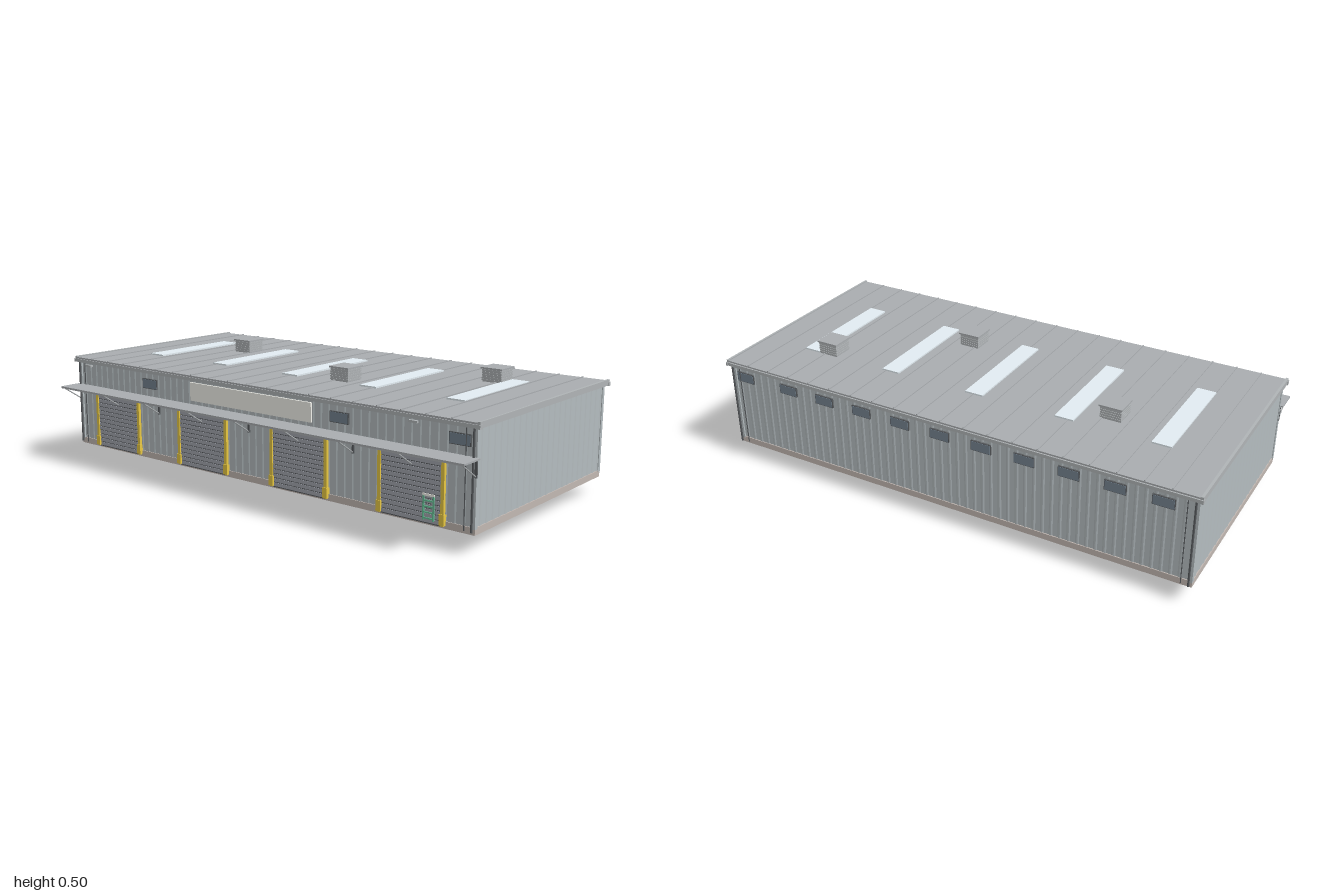
import * as THREE from 'three';

const mat = (color, extra = {}) => {
  const m = new THREE.MeshStandardMaterial(extra);
  m.color.set(color);
  return m;
};
const M = {
  wall: mat(0xb4bcbf), roof: mat(0xa9adb0), trim: mat(0xb0b4b6), dark: mat(0x56595c),
  plinth: mat(0xc2b8b2), floor: mat(0x9e9b97), shutter: mat(0xa2a6ae), yellow: mat(0xe8c843),
  glass: mat(0x74828f), skylight: mat(0xe2ecf2), sign: mat(0xf3f3ed), green: mat(0x66c096),
  rubber: mat(0x5a5c5e),
};

export function createModel() {
  const root = new THREE.Group();
  const add = (name, geo, m, x = 0, y = 0, z = 0, parent = root) => {
    const mesh = new THREE.Mesh(geo, m);
    mesh.name = name;
    mesh.position.set(x, y, z);
    parent.add(mesh);
    return mesh;
  };
  const box = (name, w, h, d, m, x, y, z, parent) =>
    add(name, new THREE.BoxGeometry(w, h, d), m, x, y, z, parent);
  // round bar between two points
  const bar = (name, a, b, r, m, parent) => {
    const A = new THREE.Vector3(...a), B = new THREE.Vector3(...b);
    const mesh = add(name, new THREE.CylinderGeometry(r, r, A.distanceTo(B), 8), m, 0, 0, 0, parent);
    mesh.position.copy(A).lerp(B, 0.5);
    mesh.quaternion.setFromUnitVectors(new THREE.Vector3(0, 1, 0), B.sub(A).normalize());
    return mesh;
  };

  // Floor slab and plinth
  const zF = 0.41, zB = -0.487, zC = (zF + zB) / 2, depth = zF - zB;
  box('floor', 1.96, 0.006, 0.9, M.floor, 0, 0.073, zC);
  for (const [z, n] of [[zF, 'frontPlinth'], [zB, 'backPlinth']])
    box(n, 1.968, 0.025, 0.012, M.plinth, 0, 0.0825, z);
  for (const s of [-1, 1]) box('sidePlinth', 0.012, 0.025, depth, M.plinth, s * 0.978, 0.0825, zC);

  // Shallow corrugated cladding sheets
  const cladding = (len, pitch) => {
    const n = Math.round(len / pitch), p = len / n, s = new THREE.Shape();
    s.moveTo(-len / 2, 0.004);
    for (let i = 0; i < n; i++) {
      const x = -len / 2 + i * p;
      for (const [f, d] of [[0, 0], [0.55, 0], [0.7, -0.002], [0.85, -0.002]]) s.lineTo(x + f * p, d);
    }
    s.lineTo(len / 2, 0);
    s.lineTo(len / 2, 0.004);
    return new THREE.ExtrudeGeometry(s, { depth: 0.345, bevelEnabled: false }).rotateX(-Math.PI / 2);
  };
  const longSheet = cladding(1.96, 0.035), sideSheet = cladding(depth, 0.04);
  add('frontWall', longSheet, M.wall, 0, 0.09, zF + 0.002);
  add('backWall', longSheet, M.wall, 0, 0.09, zB - 0.002).rotation.y = Math.PI;
  for (const s of [-1, 1])
    add('sideWall', sideSheet, M.wall, s * 0.98, 0.09, zC).rotation.y = s * Math.PI / 2;
  for (const sx of [-1, 1]) for (const z of [zF, zB])
    box('cornerTrim', 0.016, 0.35, 0.016, M.wall, sx * 0.977, 0.265, z);

  // Roof deck, standing seams, gutters
  box('roof', 1.99, 0.016, 0.93, M.roof, 0, 0.436, -0.04);
  for (let i = 0; i <= 20; i++) box('roofSeam', 0.004, 0.004, 0.928, M.roof, -0.99 + i * 0.099, 0.446, -0.04);
  for (const s of [-1, 1]) box('vergeTrim', 0.01, 0.022, 0.934, M.trim, s * 0.993, 0.437, -0.04);
  for (const z of [0.423, -0.504]) {
    box('gutter', 1.99, 0.013, 0.012, M.trim, 0, 0.431, z);
    const wallZ = z > 0 ? 0.42 : -0.498;
    for (const s of [-1, 1]) {
      box('gutterEnd', 0.006, 0.015, 0.016, M.trim, s * 0.997, 0.431, z);
      bar('downpipe', [s * 0.975, 0.08, z], [s * 0.975, 0.43, z], 0.004, M.dark);
      bar('innerDownpipe', [s * 0.945, 0.08, wallZ], [s * 0.945, 0.43, wallZ], 0.002, M.dark);
    }
  }

  // Skylights
  for (let i = -2; i <= 2; i++) box('skylight', 0.075, 0.008, 0.45, M.skylight, i * 0.377 - 0.003, 0.446, -0.045);

  // Louvred roof vents
  for (const [x, z] of [[-0.53, -0.155], [0.22, 0.112], [0.675, -0.229]]) {
    const vent = new THREE.Group();
    vent.name = 'roofVent';
    vent.position.set(x, 0.443, z);
    root.add(vent);
    box('ventCore', 0.08, 0.05, 0.08, M.roof, 0, 0.025, 0, vent);
    for (let i = 0; i < 5; i++) box('louvre', 0.084, 0.006, 0.084, M.trim, 0, 0.008 + i * 0.0092, 0, vent);
    box('ventCap', 0.092, 0.006, 0.092, M.roof, 0, 0.053, 0, vent);
  }

  // Roller doors with yellow posts and guards
  for (const x of [-0.74, -0.245, 0.245, 0.735]) {
    const door = new THREE.Group();
    door.name = 'rollerDoor';
    door.position.set(x, 0, 0.416);
    root.add(door);
    box('shutter', 0.25, 0.24, 0.006, M.dark, 0, 0.195, 0, door);
    for (let i = 0; i < 14; i++) box('slat', 0.246, 0.0135, 0.004, M.shutter, 0, 0.086 + i * 0.0168, 0.003, door);
    box('rollerHousing', 0.262, 0.018, 0.016, M.dark, 0, 0.313, 0.004, door);
    for (const s of [-1, 1]) {
      box('doorPost', 0.013, 0.235, 0.012, M.yellow, s * 0.128, 0.195, 0.003, door);
      box('postGuard', 0.02, 0.038, 0.016, M.yellow, s * 0.128, 0.1, 0.004, door);
    }
  }
  // Small green frame beside the last door
  for (const s of [-1, 1]) box('greenFrameSide', 0.006, 0.085, 0.004, M.green, 0.81 + s * 0.02, 0.13, 0.424);
  for (const y of [0.095, 0.115, 0.135, 0.155]) box('greenFrameRail', 0.044, 0.005, 0.004, M.green, 0.81, y, 0.424);
  box('greenFrameHeader', 0.048, 0.008, 0.004, M.sign, 0.81, 0.175, 0.424);

  // Blank fascia board, windows and lamps
  box('fasciaBoard', 0.61, 0.072, 0.008, M.sign, 0, 0.38, 0.417);
  const windowAt = (x, z) => {
    box('windowFrame', 0.082, 0.04, 0.01, M.dark, x, 0.38, z);
    box('windowPane', 0.077, 0.035, 0.013, M.glass, x, 0.38, z);
  };
  for (const x of [-0.54, 0.43, 0.92]) windowAt(x, 0.414);
  windowAt(0.92, -0.491);
  for (let i = 0; i < 10; i++) windowAt(0.705 - i * 0.174, -0.491);
  for (const x of [-0.92, 0.74]) box('wallLamp', 0.035, 0.008, 0.012, M.trim, x, 0.412, 0.418);

  // Canopy with strut brackets
  box('canopy', 1.99, 0.006, 0.095, M.roof, 0, 0.326, 0.4625);
  box('canopyEdge', 1.99, 0.008, 0.004, M.trim, 0, 0.325, 0.508);
  for (let i = -4; i <= 4; i++) {
    const x = i * 0.2455;
    bar('canopyStrut', [x, 0.322, 0.503], [x, 0.265, 0.416], 0.0025, M.trim);
    box('strutPlate', 0.008, 0.06, 0.006, M.dark, x, 0.292, 0.416);
  }

  // Boat below the floor: two red hull halves with a narrow tunnel
  const boat = new THREE.Group();
  boat.name = 'boat';
  root.add(boat);
  // stations: z, keel height, half-width, lower edge of the dark band
  const stations = [
    [0.245, 0.036, 0.07, 0.042], [0.2, 0.018, 0.084, 0.054], [0.115, 0.004, 0.093, 0.055], [0, 0.003, 0.097, 0.055],
    [-0.115, 0.004, 0.097, 0.055], [-0.2, 0.015, 0.093, 0.054], [-0.28, 0.034, 0.082, 0.04], [-0.31, 0.052, 0.07, 0.055],
  ];
  const loft = (rings) => {
    const n = rings[0].length, idx = [];
    for (let i = 0; i < rings.length - 1; i++) for (let j = 0; j < n; j++) {
      const a = i * n + j, b = i * n + (j + 1) % n;
      idx.push(a, b, a + n, b, b + n, a + n);
    }
    const last = (rings.length - 1) * n;
    for (let j = 1; j < n - 1; j++) idx.push(0, j + 1, j, last, last + j, last + j + 1);
    const g = new THREE.BufferGeometry();
    g.setAttribute('position', new THREE.Float32BufferAttribute(rings.flat(2), 3));
    g.setIndex(idx);
    const flat = g.toNonIndexed();
    flat.computeVertexNormals();
    return flat;
  };
  const hullRed = mat(0xbd6355, { side: THREE.DoubleSide, flatShading: true });
  const hullDark = mat(0x5a5c5e, { side: THREE.DoubleSide, flatShading: true });
  for (const [s, inner] of [[1, -0.012], [-1, 0.035]]) {
    add('hull', loft(stations.map(([z, k, o]) => [
      [s * inner, 0.058, z], [s * (inner + 0.006), k + 0.004, z], [s * (inner + 0.02), k, z],
      [s * (o - 0.02), k + 0.005, z], [s * o, Math.max(0.028, k + 0.004), z], [s * o, 0.058, z],
    ])), hullRed, 0, 0, 0, boat);
    // round fenders
    for (const z of [0.165, 0.055, -0.055, -0.17, -0.28])
      add('fender', new THREE.TorusGeometry(0.014, 0.005, 8, 16), M.rubber, s * 0.097, 0.072, z, boat).rotation.y = Math.PI / 2;
    // stern drives
    bar('driveLeg', [s * 0.045, 0.07, -0.27], [s * 0.045, 0.06, -0.325], 0.006, M.dark, boat);
    bar('propellerHub', [s * 0.045, 0.064, -0.31], [s * 0.045, 0.064, -0.336], 0.008, M.dark, boat);
    for (let i = 0; i < 3; i++)
      box('propellerBlade', 0.006, 0.022, 0.003, M.dark, s * 0.045, 0.068, -0.328, boat).rotation.z = i * Math.PI / 3;
  }
  // dark gunwale band
  add('gunwale', loft(stations.map(([z, , o, b]) => [
    [-o - 0.002, 0.078, z], [-o - 0.002, b, z], [o + 0.002, b, z], [o + 0.002, 0.078, z],
  ])), hullDark, 0, 0, 0, boat);

  return root;
}
